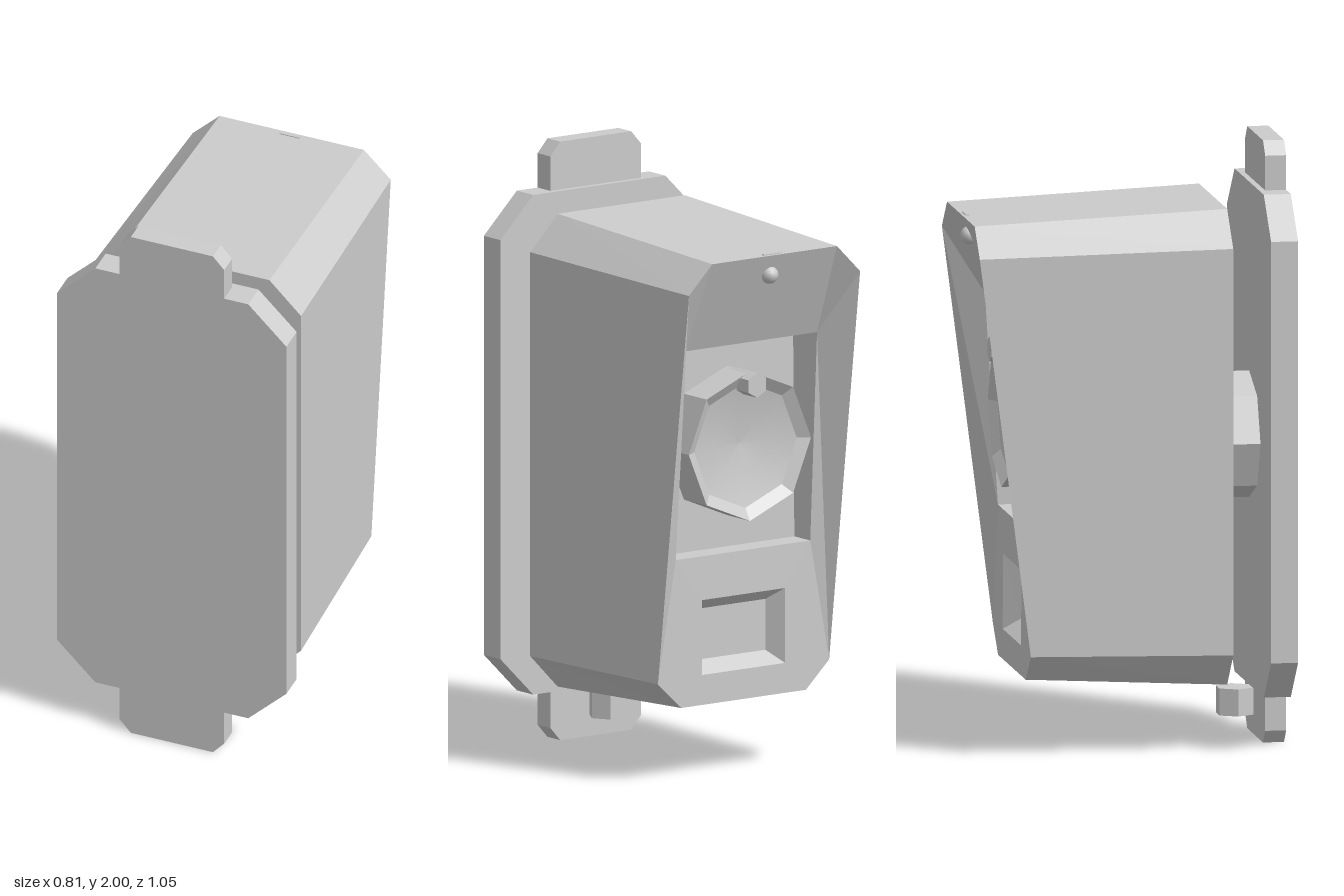
import * as THREE from 'three';

const lightGrey = new THREE.MeshStandardMaterial({ color: 0xcccccc });

// Faceted normals for low-poly parts
function facet(geometry) {
  const g = geometry.index ? geometry.toNonIndexed() : geometry;
  g.computeVertexNormals();
  return g;
}

// Geometry from flat polygons, each given as a list of [x, y, z] corners
function fromPolygons(polygons) {
  const positions = [];
  for (const p of polygons) {
    for (let i = 1; i < p.length - 1; i++) positions.push(...p[0], ...p[i], ...p[i + 1]);
  }
  const g = new THREE.BufferGeometry();
  g.setAttribute('position', new THREE.Float32BufferAttribute(positions, 3));
  return facet(g);
}

// Left-right symmetric slab from the outline of its +x half, top to bottom
function slab(half, z0, z1) {
  const outline = [...half, ...half.map(([x, y]) => [-x, y]).reverse()];
  const shape = new THREE.Shape(outline.map(([x, y]) => new THREE.Vector2(x, y)));
  const g = new THREE.ExtrudeGeometry(shape, { depth: z1 - z0, bevelEnabled: false });
  return g.translate(0, 0, z0);
}

function housingGeometry() {
  // Front outline (f), hooded rim, recess mouth and floor, small pocket
  const Af = [0.26, 1.795, 0.315], Bf = [0.372, 1.68, 0.315];
  const Cf = [0.372, 0.33, 0.315], Df = [0.26, 0.215, 0.315];
  const A = [0.255, 1.76, -0.525], B = [0.35, 1.665, -0.525];
  const C = [0.35, 0.34, -0.355], D = [0.255, 0.25, -0.355];
  const T = [0.27, 1.45, -0.396], L = [0.275, 0.746, -0.352];
  const Tb = [0.27, 1.45, -0.265], Lb = [0.275, 0.746, -0.265];
  const P1 = [0.17, 0.6, -0.354], P2 = [0.17, 0.35, -0.355];
  const Q1 = [0.13, 0.56, -0.3], Q2 = [0.13, 0.39, -0.3];
  const mirror = ([x, y, z]) => [-x, y, z];

  const polygons = [];
  // Centre strip running round the whole section
  const loop = [A, T, Tb, Lb, L, P1, Q1, Q2, P2, D, Df, Af];
  loop.forEach((a, i) => {
    const b = loop[(i + 1) % loop.length];
    polygons.push([a, b, mirror(b), mirror(a)]);
  });
  // Side faces, mirrored
  const sides = [
    [A, B, T], [B, C, L, T], [T, L, Lb, Tb],
    [L, C, P2, P1], [C, D, P2], [P1, P2, Q2, Q1],
    [B, A, Af, Bf], [C, B, Bf, Cf], [D, C, Cf, Df], [Af, Df, Cf, Bf],
  ];
  for (const s of sides) polygons.push(s, s.map(mirror).reverse());
  return fromPolygons(polygons);
}

export function createModel() {
  const model = new THREE.Group();
  const add = (name, geometry, x = 0, y = 0, z = 0) => {
    const mesh = new THREE.Mesh(geometry, lightGrey);
    mesh.name = name;
    mesh.position.set(x, y, z);
    model.add(mesh);
  };

  // Mounting plate with a tab at each end
  add('mountingPlate', slab([[0.27, 1.84], [0.405, 1.705], [0.405, 0.305], [0.27, 0.17]], 0.435, 0.525));
  const tab = [[0.145, 2], [0.185, 1.955], [0.185, 1.8]];
  add('topTab', slab(tab, 0.455, 0.525));
  add('bottomTab', slab(tab.map(([x, y]) => [x, 2 - y]).reverse(), 0.455, 0.525));

  // Nut behind the bottom tab
  const nut = new THREE.CylinderGeometry(0.066, 0.066, 0.09, 6, 1, false, Math.PI / 2);
  add('bottomNut', facet(nut), 0, 0.12, 0.387);

  // Eight-sided neck joining plate and housing
  const neck = new THREE.CylinderGeometry(0.21, 0.21, 0.12, 8).rotateX(Math.PI / 2);
  add('neck', facet(neck), 0, 1.003, 0.375);

  add('housing', housingGeometry());

  // Eight-sided dial with a bevelled rim and a shallow dished face
  const lathe = (points) => new THREE.LatheGeometry(
    points.map(([r, h]) => new THREE.Vector2(r, h)), 8).rotateX(-Math.PI / 2);
  add('dialRim', facet(lathe([[0.25, 0], [0.25, 0.125], [0.21, 0.1]])), 0, 1.1, -0.265);
  add('dialFace', lathe([[0.21, 0.1], [0.11, 0.075], [0, 0.065]]), 0, 1.1, -0.265);

  // Small peg on the top of the dial rim
  const peg = new THREE.CylinderGeometry(0.042, 0.042, 0.14, 6).rotateX(Math.PI / 2);
  add('dialPeg', facet(peg), 0, 1.31, -0.36);

  // Stud under the hood and its catch on top
  add('hoodStud', new THREE.SphereGeometry(0.03, 10, 8), 0, 1.69, -0.497);
  add('hoodCatch', new THREE.BoxGeometry(0.07, 0.008, 0.012), 0, 1.76, -0.509);

  return model;
}
